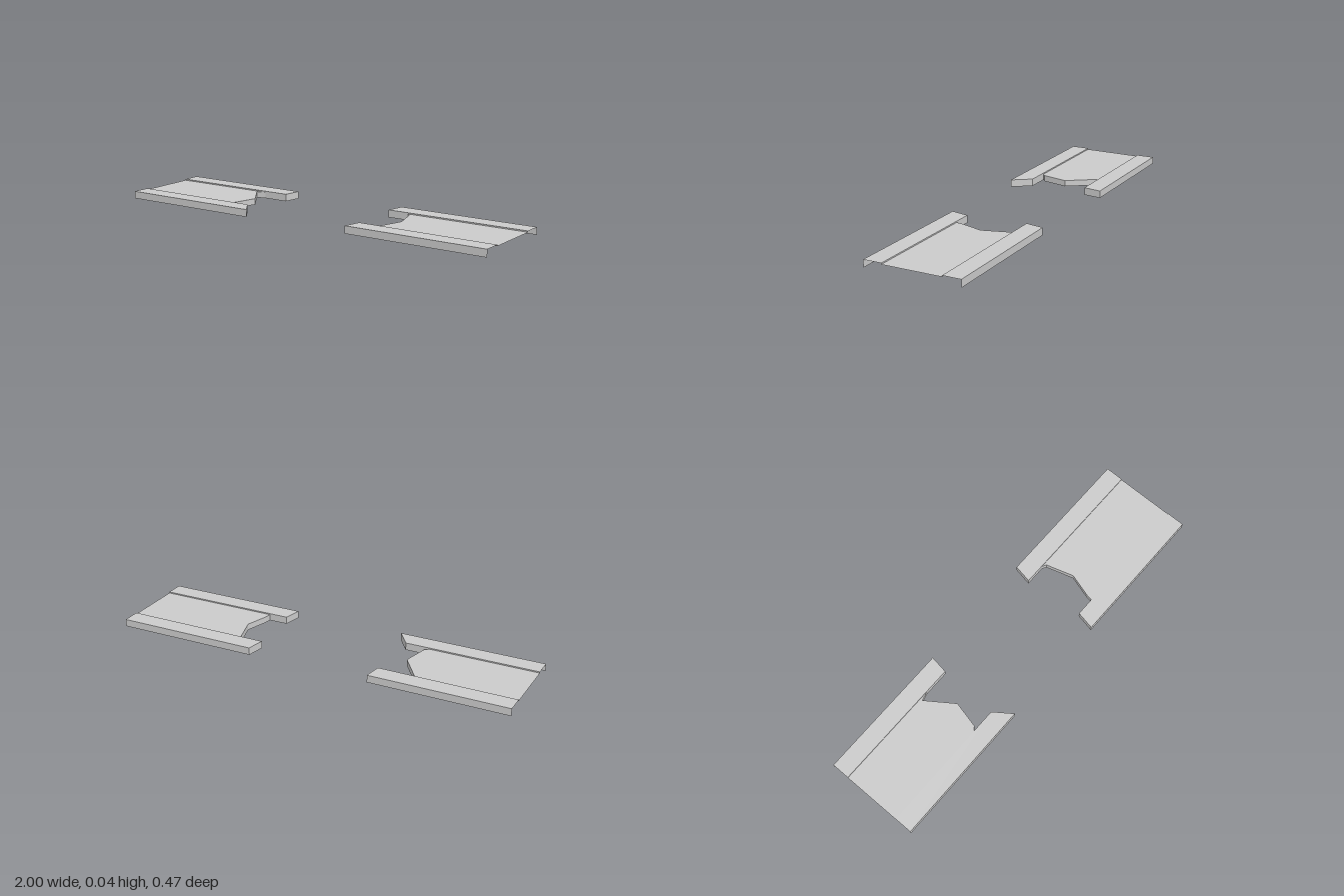
import * as THREE from 'three';

const KERB_Y = 0.036, DECK_Y = 0.03;
const EDGE_Z = 0.237, STEP_Z = 0.147;

const material = new THREE.MeshStandardMaterial({
  color: 0xcccccc, flatShading: true, side: THREE.DoubleSide,
});

function addMesh(group, name, geometry) {
  const mesh = new THREE.Mesh(geometry, material);
  mesh.name = name;
  group.add(mesh);
}

// Flat upward-facing sheet from [x, z] points at height y
function sheet(points, y) {
  const shape = new THREE.Shape(points.map(([x, z]) => new THREE.Vector2(x, -z)));
  return new THREE.ShapeGeometry(shape).rotateX(-Math.PI / 2).translate(0, y, 0);
}

// Vertical strip following [x, z] points, facing right of the walking direction
function wall(points, y0, y1) {
  const positions = [];
  for (let i = 0; i < points.length - 1; i++) {
    const [ax, az] = points[i], [bx, bz] = points[i + 1];
    positions.push(ax, y0, az, bx, y0, bz, bx, y1, bz);
    positions.push(ax, y0, az, bx, y1, bz, ax, y1, az);
  }
  const geometry = new THREE.BufferGeometry();
  geometry.setAttribute('position', new THREE.Float32BufferAttribute(positions, 3));
  geometry.computeVertexNormals();
  return geometry;
}

// One hollow half: open underneath and at its straight end, torn at the other.
// The torn edge runs kerb, prong side, deck (points 2 to 6), prong side, kerb.
function bridgeHalf(name, endX, torn) {
  const group = new THREE.Group();
  group.name = name;
  const side = Math.sign(torn[0][1]);
  const startEdge = [endX, side * EDGE_Z], startStep = [endX, side * STEP_Z];
  const finishEdge = [endX, -side * EDGE_Z], finishStep = [endX, -side * STEP_Z];

  // Road surface and its broken face
  const deckEdge = torn.slice(2, 7);
  addMesh(group, 'deck', sheet([startStep, ...deckEdge, finishStep], DECK_Y));
  addMesh(group, 'brokenDeckFace', wall(deckEdge, 0, DECK_Y));

  // Raised kerbs with outer walls and broken prong faces
  addMesh(group, 'kerbTop', sheet([startEdge, torn[0], torn[1], startStep], KERB_Y));
  addMesh(group, 'kerbTop', sheet([finishStep, torn[7], torn[8], finishEdge], KERB_Y));
  addMesh(group, 'kerbWall', wall([startEdge, ...torn.slice(0, 3)], 0, KERB_Y));
  addMesh(group, 'kerbWall', wall([...torn.slice(6), finishEdge], 0, KERB_Y));

  // Low steps between the deck and the kerbs
  addMesh(group, 'kerbStep', wall([torn[2], startStep], DECK_Y, KERB_Y));
  addMesh(group, 'kerbStep', wall([finishStep, torn[6]], DECK_Y, KERB_Y));
  return group;
}

export function createModel() {
  const model = new THREE.Group();
  model.name = 'brokenBridge';
  model.add(bridgeHalf('leftHalf', 1, [
    [0.295, -EDGE_Z], [0.278, -STEP_Z], [0.38, -STEP_Z], [0.4, -0.135], [0.44, 0],
    [0.405, 0.115], [0.4, STEP_Z], [0.305, STEP_Z], [0.287, EDGE_Z],
  ]));
  model.add(bridgeHalf('rightHalf', -1, [
    [-0.275, EDGE_Z], [-0.34, STEP_Z], [-0.46, STEP_Z], [-0.44, 0.13], [-0.41, 0],
    [-0.505, -0.135], [-0.46, -STEP_Z], [-0.33, -STEP_Z], [-0.317, -EDGE_Z],
  ]));
  return model;
}
